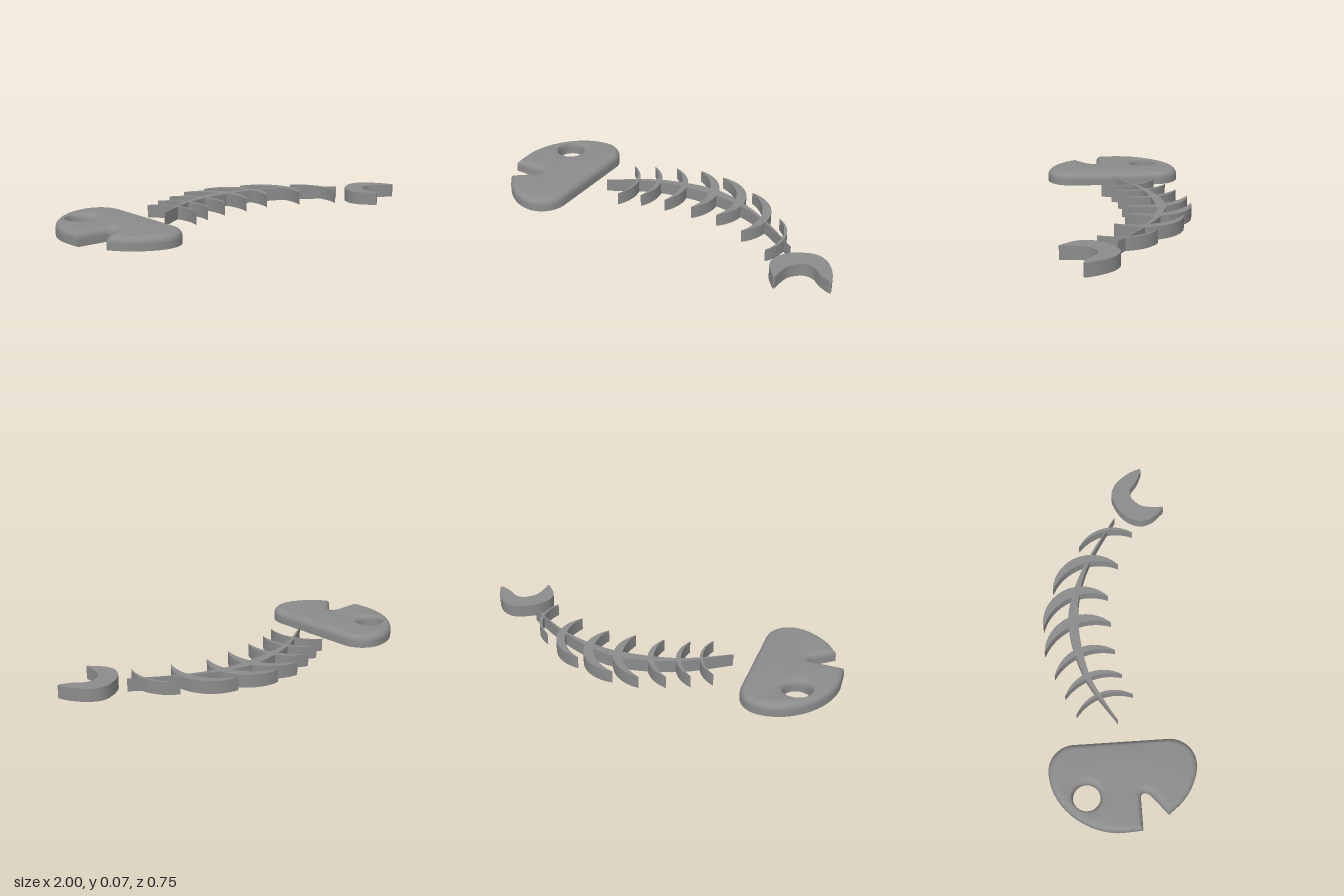
import * as THREE from 'three';
import { toCreasedNormals } from 'three/addons/utils/BufferGeometryUtils.js';

const H = 0.068; // thickness of every part
const R = 0.033; // rounding of the head's upper edge
const material = new THREE.MeshStandardMaterial({ color: 0x8c8c8c });
const vec = ([x, y]) => new THREE.Vector2(x, y);

// The eye hole flares from a circle at the bottom to a wider, shifted one on top
const EYE = { x: -0.818, y: 0.19, r: 0.07 };
const EYE_TOP = { x: -0.8086, y: 0.1817, r: 0.09 };

// Plan shapes are drawn with shape y = -z, then laid flat on the ground.
function extrude(shape, bevel = 0) {
  const geometry = new THREE.ExtrudeGeometry(shape, {
    depth: H - bevel, curveSegments: 20,
    bevelEnabled: bevel > 0, bevelThickness: bevel, bevelSize: bevel,
    bevelOffset: -bevel, bevelSegments: 8,
  });
  return geometry.rotateX(-Math.PI / 2);
}

function addMesh(parent, name, geometry) {
  const mesh = new THREE.Mesh(toCreasedNormals(geometry, 0.6), material);
  mesh.name = name;
  parent.add(mesh);
}

// Points on the circular arc from a through m to b
function arc(a, m, b, n = 20) {
  const [A, M, B] = [a, m, b].map(vec);
  const d = 2 * (A.x * (M.y - B.y) + M.x * (B.y - A.y) + B.x * (A.y - M.y));
  const [qa, qm, qb] = [A, M, B].map((v) => v.lengthSq());
  const c = new THREE.Vector2(
    (qa * (M.y - B.y) + qm * (B.y - A.y) + qb * (A.y - M.y)) / d,
    (qa * (B.x - M.x) + qm * (A.x - B.x) + qb * (M.x - A.x)) / d);
  const start = A.clone().sub(c);
  const end = B.clone().sub(c);
  const sweep = Math.atan2(start.cross(end), start.dot(end));
  return Array.from({ length: n + 1 }, (_, i) =>
    A.clone().rotateAround(c, (sweep * i) / n));
}

// Closed outline from two smooth edges meeting at the tips
function leaf(outer, inner) {
  const edge = (pts) => new THREE.SplineCurve(pts.map(vec)).getPoints(32);
  return new THREE.Shape([...edge(outer), ...edge(inner)]);
}

function headGeometry() {
  const s = new THREE.Shape();
  s.moveTo(-0.545, -0.24);
  s.lineTo(-0.545, 0.24);
  s.absarc(-0.68, 0.24, 0.135, 0, Math.PI / 2, false);
  s.bezierCurveTo(-0.85, 0.375, -1, 0.2, -1, 0.02); // forehead
  s.lineTo(-0.995, -0.08);
  s.lineTo(-0.835, -0.08); // mouth
  s.bezierCurveTo(-0.8, -0.08, -0.8, -0.115, -0.835, -0.142);
  s.lineTo(-0.925, -0.215);
  s.lineTo(-0.885, -0.267); // jaw
  s.bezierCurveTo(-0.84, -0.32, -0.76, -0.375, -0.68, -0.375);
  s.absarc(-0.68, -0.24, 0.135, -Math.PI / 2, 0, false);
  const eye = new THREE.Path();
  eye.absarc(EYE_TOP.x, EYE_TOP.y, EYE_TOP.r - R, 0, Math.PI * 2, true);
  s.holes.push(eye);

  const geometry = extrude(s, R);
  const p = geometry.attributes.position;
  for (let i = 0; i < p.count; i++) {
    // Flatten the lower bevel so only the upper edge stays round
    p.setY(i, Math.max(0, p.getY(i)));
    // Blend the hole's rings from the bottom circle to the top one
    const dx = p.getX(i) - EYE_TOP.x;
    const dy = -p.getZ(i) - EYE_TOP.y;
    const r = Math.hypot(dx, dy);
    if (r > EYE_TOP.r + 0.001) continue;
    const t = (r - EYE_TOP.r + R) / R;
    const mix = (key) => THREE.MathUtils.lerp(EYE[key], EYE_TOP[key], t);
    p.setX(i, mix('x') + (dx / r) * mix('r'));
    p.setZ(i, -mix('y') - (dy / r) * mix('r'));
  }
  return geometry;
}

// Each rib: upper tip, outer middle, inner middle, lower tip
const RIBS = [
  [[-0.396, 0.217], [-0.278, 0.067], [-0.294, 0.067], [-0.305, -0.08]],
  [[-0.294, 0.27], [-0.166, 0.115], [-0.193, 0.12], [-0.193, -0.03]],
  [[-0.182, 0.318], [-0.027, 0.158], [-0.059, 0.158], [-0.059, -0.003]],
  [[-0.053, 0.364], [0.15, 0.184], [0.102, 0.184], [0.096, 0.008]],
  [[0.086, 0.364], [0.31, 0.195], [0.262, 0.179], [0.246, 0.013]],
  [[0.299, 0.305], [0.492, 0.126], [0.449, 0.115], [0.428, -0.051]],
  [[0.54, 0.152], [0.647, 0.003], [0.631, -0.003], [0.61, -0.142]],
];

export function createModel() {
  const model = new THREE.Group();
  model.name = 'fishSkeleton';

  addMesh(model, 'head', headGeometry());

  // Backbone, tapering to both ends
  addMesh(model, 'spine', extrude(leaf(
    [[-0.438, 0.01], [-0.19, 0.165], [0.09, 0.232], [0.3, 0.19], [0.49, 0.096], [0.705, -0.05]],
    [[0.705, -0.053], [0.49, 0.082], [0.3, 0.157], [0.09, 0.18], [-0.19, 0.135], [-0.438, 0.007]])));

  // Crescent ribs crossing the backbone
  const ribs = new THREE.Group();
  ribs.name = 'ribs';
  RIBS.forEach(([top, outer, inner, bottom], i) => {
    const outline = [...arc(top, outer, bottom), ...arc(bottom, inner, top).slice(1, -1)];
    addMesh(ribs, `rib${i + 1}`, extrude(new THREE.Shape(outline)));
  });
  model.add(ribs);

  // Crescent tail fin
  addMesh(model, 'tail', extrude(leaf(
    [[0.749, -0.322], [0.69, -0.25], [0.679, -0.179], [0.727, -0.099],
      [0.834, -0.045], [0.914, -0.072], [0.973, -0.145], [1, -0.211]],
    [[0.988, -0.216], [0.93, -0.19], [0.877, -0.152], [0.823, -0.152],
      [0.773, -0.2], [0.759, -0.26], [0.757, -0.318]])));

  return model;
}
